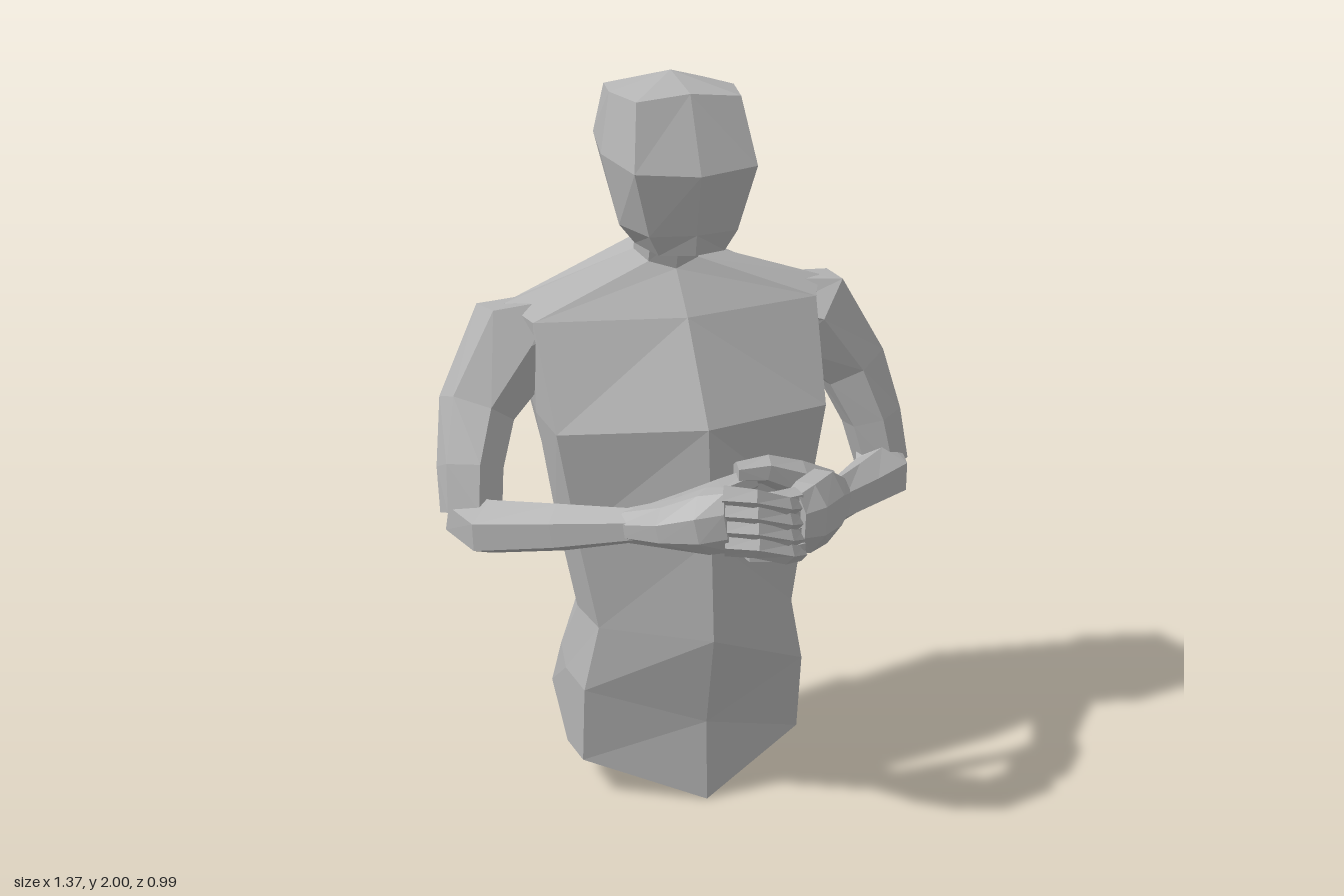
import * as THREE from 'three';

const grey = new THREE.MeshStandardMaterial({ color: 0xb4b4b4 });
grey.name = 'plain grey';

// Faceted skin over a stack of closed rings, with a fan at each end
function loft(name, rings, startTip, endTip) {
  const out = [];
  const tri = (a, b, c) => out.push(...a, ...b, ...c);
  const n = rings[0].length;
  const last = rings[rings.length - 1];
  for (let j = 0; j < n; j++) {
    const k = (j + 1) % n;
    for (let i = 0; i < rings.length - 1; i++) {
      const p = rings[i], q = rings[i + 1];
      // Diagonals mirror from one half of the ring to the other
      if (j < n / 2) {
        tri(p[j], p[k], q[j]);
        tri(p[k], q[k], q[j]);
      } else {
        tri(p[j], p[k], q[k]);
        tri(p[j], q[k], q[j]);
      }
    }
    tri(rings[0][k], rings[0][j], startTip);
    tri(last[j], last[k], endTip);
  }
  const g = new THREE.BufferGeometry();
  g.setAttribute('position', new THREE.Float32BufferAttribute(out, 3));
  g.computeVertexNormals();
  const mesh = new THREE.Mesh(g, grey);
  mesh.name = name;
  return mesh;
}

// Full ring from half: front centre, front side, side, back side, back centre
function mirrorRing(half, cx) {
  const left = half.map(([x, y, z]) => [cx + x, y, z]);
  const right = half.slice(1, -1).reverse().map(([x, y, z]) => [cx - x, y, z]);
  return [...left, ...right];
}

// Limb through stations [x, y, z, half width, half height]
function limb(name, stations, ref, sides = 6) {
  const pts = stations.map(s => new THREE.Vector3(s[0], s[1], s[2]));
  const rings = stations.map((st, i) => {
    const t = pts[Math.min(i + 1, pts.length - 1)].clone().sub(pts[Math.max(i - 1, 0)]).normalize();
    const s = ref.clone().cross(t).normalize();
    const u = t.clone().cross(s);
    return Array.from({ length: sides }, (_, k) => {
      const a = (k + 0.5) / sides * Math.PI * 2;
      return pts[i].clone().addScaledVector(s, Math.cos(a) * st[3])
        .addScaledVector(u, Math.sin(a) * st[4]).toArray();
    });
  });
  return loft(name, rings, pts[0].toArray(), pts[pts.length - 1].toArray());
}

const UP = new THREE.Vector3(0, 1, 0);
const FRONT = new THREE.Vector3(0, 0, 1);

function buildArm(side, d) {
  const arm = new THREE.Group();
  arm.name = side + 'Arm';
  arm.add(limb(side + 'UpperArm', d.upper, FRONT));
  arm.add(limb(side + 'Forearm', d.forearm, UP));
  arm.add(limb(side + 'Palm', d.palm, UP, 8));
  arm.add(limb(side + 'Thumb', d.thumb, UP, 6));
  // Four bent fingers stacked from top to bottom
  for (let i = 0; i < 4; i++) {
    const path = d.finger.map(([x, y, z, r]) => [x, y - i * d.gap, z + i * 0.007, r, r]);
    arm.add(limb(side + 'Finger' + (i + 1), path, UP, 5));
  }
  return arm;
}

export function createModel() {
  const model = new THREE.Group();
  model.name = 'bust';

  // Torso and neck
  const torso = [
    [[0, 0, .11], [.32, .11, -.025], [.33, .11, -.15], [.31, .19, -.385], [0, .165, -.495]],
    [[0, .24, .105], [.32, .34, .005], [.33, .34, -.15], [.31, .36, -.27], [0, .28, -.40]],
    [[0, .51, .165], [.28, .53, .02], [.295, .53, -.14], [.26, .53, -.25], [0, .53, -.33]],
    [[0, .80, .145], [.33, .80, 0], [.345, .80, -.16], [.31, .80, -.28], [0, .80, -.385]],
    [[0, 1.10, .12], [.38, 1.09, 0], [.39, 1.10, -.17], [.37, 1.10, -.32], [0, 1.20, -.445]],
    [[0, 1.36, -.05], [.40, 1.36, -.135], [.45, 1.39, -.24], [.39, 1.37, -.36], [0, 1.45, -.38]],
    [[0, 1.47, -.145], [.07, 1.49, -.17], [.09, 1.51, -.24], [.065, 1.53, -.31], [0, 1.53, -.34]],
    [[0, 1.56, -.12], [.07, 1.57, -.145], [.09, 1.59, -.21], [.065, 1.62, -.27], [0, 1.63, -.30]],
    [[0, 1.66, -.11], [.06, 1.67, -.13], [.08, 1.69, -.19], [.06, 1.71, -.25], [0, 1.72, -.28]],
  ].map(r => mirrorRing(r, -.015));
  model.add(loft('torso', torso, [-.015, .065, -.40], [-.015, 1.7, -.19]));

  // Head
  const head = [
    [[0, 1.555, .05], [.09, 1.555, .02], [.12, 1.565, -.09], [.11, 1.65, -.24], [0, 1.69, -.29]],
    [[0, 1.61, .06], [.12, 1.61, .035], [.165, 1.62, -.08], [.15, 1.70, -.24], [0, 1.73, -.305]],
    [[0, 1.77, .097], [.165, 1.78, .06], [.20, 1.80, -.12], [.165, 1.82, -.31], [0, 1.82, -.355]],
    [[0, 1.965, .01], [.14, 1.95, 0], [.17, 1.955, -.14], [.14, 1.95, -.29], [0, 1.955, -.31]],
  ].map(r => mirrorRing(r, -.027));
  model.add(loft('head', head, [-.027, 1.57, -.10], [-.027, 2, -.15]));

  // Arms bend at the elbow and meet with interlaced fingers
  model.add(buildArm('left', {
    upper: [[.29, 1.32, -.25, .09, .085], [.41, 1.29, -.25, .14, .128], [.535, 1.12, -.235, .105, .11],
      [.59, .97, -.205, .085, .10], [.62, .83, -.19, .075, .09]],
    forearm: [[.625, .83, -.23, .07, .08], [.585, .82, -.11, .085, .08], [.45, .85, .04, .065, .07],
      [.31, .885, .205, .04, .065]],
    palm: [[.33, .885, .18, .04, .065], [.25, .905, .255, .07, .105], [.17, .915, .335, .07, .10],
      [.12, .92, .375, .045, .085]],
    thumb: [[.29, .93, .20, .04, .05], [.19, .98, .225, .045, .05], [.10, 1.02, .235, .035, .04],
      [.02, 1.02, .235, .025, .03]],
    finger: [[.14, .98, .36, .03], [.07, .985, .385, .03], [.01, .985, .37, .028], [0, .985, .32, .02]],
    gap: .042,
  }));
  model.add(buildArm('right', {
    upper: [[-.32, 1.32, -.25, .09, .085], [-.44, 1.29, -.245, .14, .128], [-.56, 1.12, -.20, .105, .11],
      [-.60, .98, -.13, .09, .10], [-.61, .87, -.09, .085, .09]],
    forearm: [[-.63, .87, -.10, .07, .07], [-.575, .85, -.02, .10, .075], [-.42, .88, .115, .075, .065],
      [-.245, .915, .25, .055, .045]],
    palm: [[-.27, .91, .23, .05, .045], [-.185, .935, .315, .085, .06], [-.11, .96, .385, .085, .085],
      [-.06, .97, .42, .055, .085]],
    thumb: [[-.23, .92, .235, .035, .04], [-.12, .94, .235, .035, .045], [-.02, .97, .235, .03, .04],
      [.07, 1.0, .235, .025, .03]],
    finger: [[-.08, 1.035, .415, .032], [-.01, 1.03, .445, .03], [.08, .99, .425, .028], [.14, .96, .37, .02]],
    gap: .04,
  }));
  return model;
}
